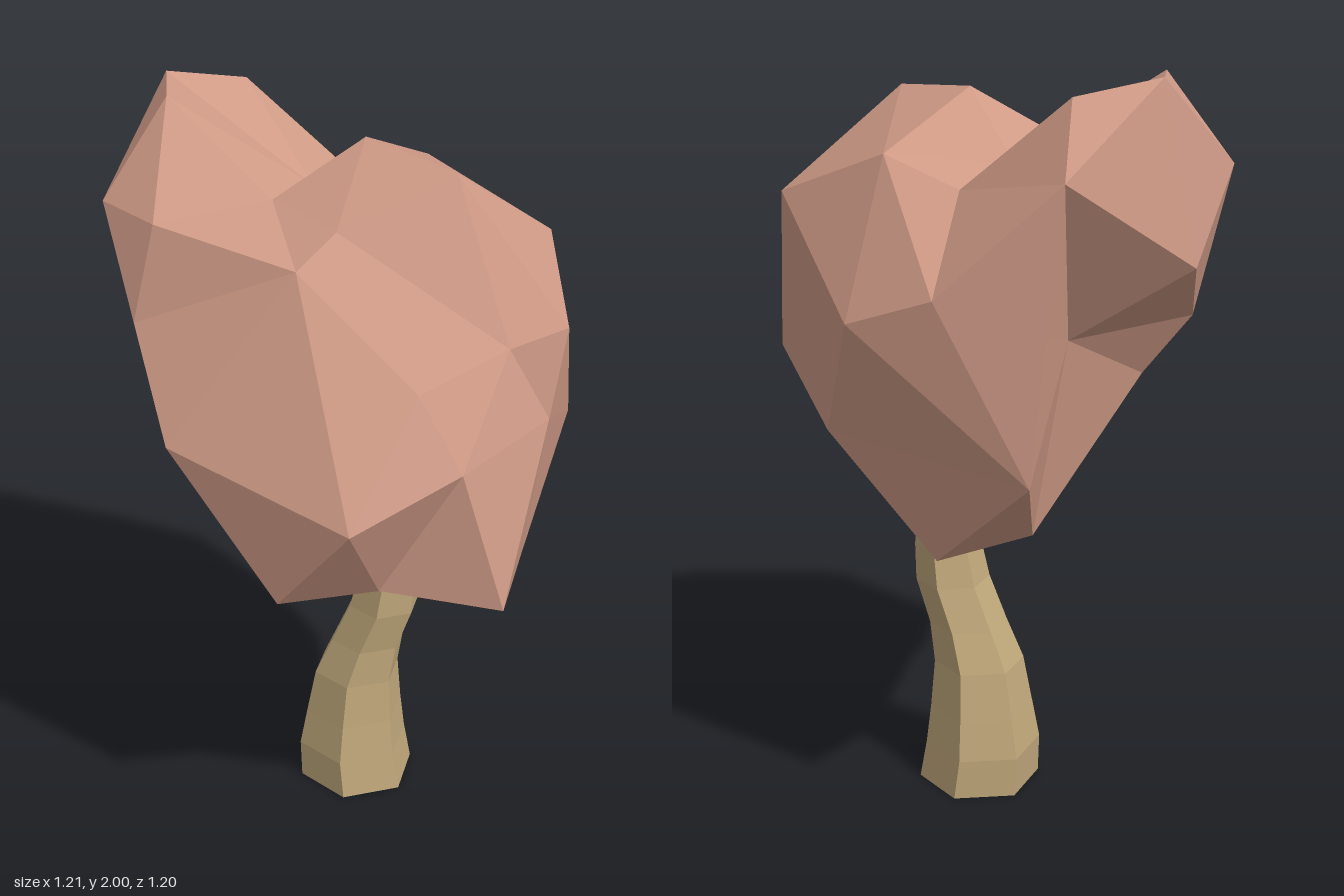
import * as THREE from 'three';
import { ConvexGeometry } from 'three/addons/geometries/ConvexGeometry.js';

// Lumpy low-poly blob: corners are joined in the order they surround a centre,
// by hulling their directions on a sphere and then restoring each distance.
function blob(corners, centre) {
  const pts = corners.map((c) => new THREE.Vector3(...c));
  const dirs = pts.map((p) => p.clone().sub(centre).normalize());
  const geo = new ConvexGeometry(dirs);
  const pos = geo.attributes.position;
  const v = new THREE.Vector3();
  for (let i = 0; i < pos.count; i++) {
    v.fromBufferAttribute(pos, i);
    let best = 0;
    dirs.forEach((d, k) => {
      if (d.distanceToSquared(v) < dirs[best].distanceToSquared(v)) best = k;
    });
    pos.setXYZ(i, pts[best].x, pts[best].y, pts[best].z);
  }
  geo.computeVertexNormals();
  return geo;
}

// Six-sided tapering tube through rings of [y, centre x, centre z, radius]
function bentTrunk(rings) {
  const n = rings.length - 1;
  const geo = new THREE.CylinderGeometry(1, 1, 1, 6, n);
  const pos = geo.attributes.position;
  for (let i = 0; i < pos.count; i++) {
    const [y, cx, cz, r] = rings[Math.round((pos.getY(i) + 0.5) * n)];
    pos.setXYZ(i, cx + r * pos.getX(i), y, cz + r * pos.getZ(i));
  }
  geo.computeVertexNormals();
  return geo;
}

export function createModel() {
  const tree = new THREE.Group();
  tree.name = 'tree';

  const add = (name, geometry, color) => {
    const mesh = new THREE.Mesh(
      geometry,
      new THREE.MeshStandardMaterial({ color, flatShading: true })
    );
    mesh.name = name;
    tree.add(mesh);
  };

  add('trunk', bentTrunk([
    [0, 0.03, -0.08, 0.165],
    [0.11, 0.018, -0.08, 0.157],
    [0.22, 0.022, -0.08, 0.14],
    [0.35, 0.03, -0.078, 0.122],
    [0.46, 0.062, -0.078, 0.105],
    [0.58, 0.108, -0.077, 0.1],
    [0.68, 0.122, -0.076, 0.09],
    [0.88, 0.115, -0.072, 0.08],
  ]), 0xc0a87b);

  const crown = [
    // tall peak on the right-hand lobe
    [-0.465, 1.99, -0.07], [-0.52, 2, -0.24], [-0.34, 1.96, -0.36],
    [-0.6, 1.75, 0.065], [-0.605, 1.55, -0.22], [-0.385, 1.79, -0.51],
    // valley and rounded lobe
    [-0.165, 1.78, 0.035], [-0.11, 1.75, -0.165], [-0.055, 1.72, -0.365],
    [0.045, 1.92, -0.085], [0.3, 1.89, 0.04], [0.15, 1.79, -0.36], [0.495, 1.65, -0.26],
    // front
    [-0.43, 1.745, 0.18], [-0.04, 1.7, 0.285], [0.035, 1.77, 0.185],
    [-0.34, 1.26, 0.42], [0.165, 1.17, 0.595], [0.4, 1.27, 0.41],
    [0.2, 0.925, 0.42], [-0.04, 0.9, 0.5], [0.51, 0.9, 0.4],
    [0.28, 1.45, 0.37], [0.47, 1.52, 0.21],
    // left side
    [0.6, 1.555, 0.13], [0.57, 1.33, 0.18], [0.58, 1.2, -0.14], [0.51, 0.9, 0.11],
    // back
    [0.27, 1.1, -0.46], [0.165, 1.41, -0.55], [-0.08, 1.5, -0.575],
    [-0.36, 1.435, -0.555], [-0.34, 1.08, -0.6],
    // right side fold and underside
    [-0.3, 1.35, -0.27], [-0.47, 1.505, 0.243], [-0.48, 1.33, 0.14], [-0.36, 1.17, 0.1],
    [-0.04, 0.805, -0.48], [-0.2, 0.815, -0.25], [0.3, 0.85, 0.22],
    [0.06, 0.84, 0], [0.17, 0.86, -0.17],
  ];
  add('crown', blob(crown, new THREE.Vector3(0, 1.35, -0.05)), 0xcf9a86);

  return tree;
}
